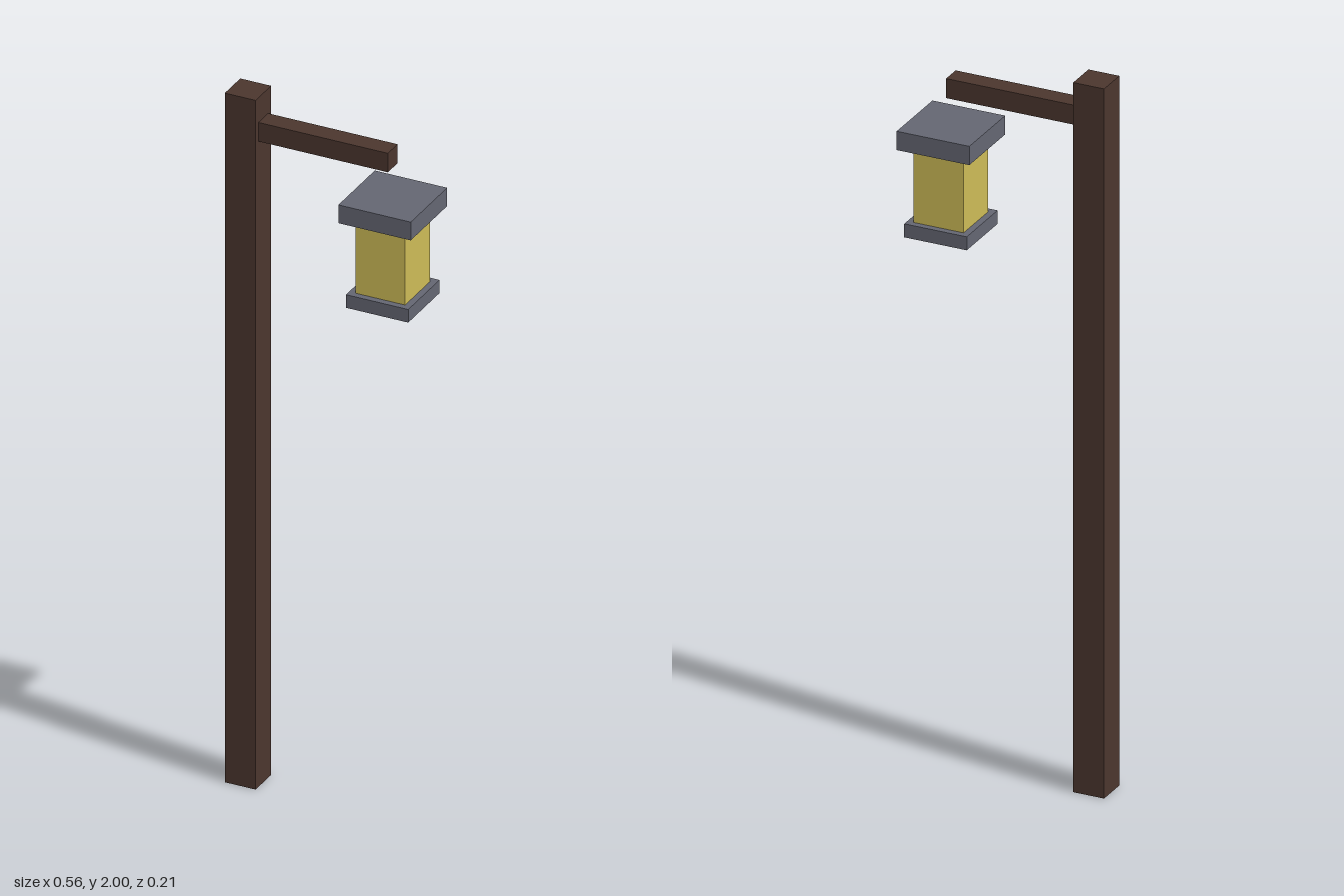
import * as THREE from 'three';

function material(name, color) {
  const m = new THREE.MeshStandardMaterial({ color });
  m.name = name;
  return m;
}

export function createModel() {
  const group = new THREE.Group();
  group.name = 'lanternPost';
  const wood = material('darkWood', 0x4b362e);
  const metal = material('greyMetal', 0x646672);
  const glass = material('yellowGlass', 0xcdbb57);

  // Box given by its x and y extents and its depth, centred on z = 0
  function box(parent, name, mat, x0, x1, y0, y1, depth) {
    const mesh = new THREE.Mesh(new THREE.BoxGeometry(x1 - x0, y1 - y0, depth), mat);
    mesh.name = name;
    mesh.position.set((x0 + x1) / 2, (y0 + y1) / 2, 0);
    parent.add(mesh);
  }

  // Wooden post and the arm set into its side
  box(group, 'post', wood, -0.281, -0.193, 0, 2, 0.088);
  box(group, 'arm', wood, -0.237, 0.177, 1.873, 1.928, 0.055);

  // Square lantern floating below the end of the arm
  const lantern = new THREE.Group();
  lantern.name = 'lantern';
  lantern.position.x = 0.177;
  group.add(lantern);
  const layers = [
    ['lanternCap', metal, 0.207, 1.737, 1.79],
    ['lanternGlass', glass, 0.142, 1.526, 1.737],
    ['lanternBase', metal, 0.178, 1.488, 1.526],
  ];
  for (const [name, mat, w, y0, y1] of layers) box(lantern, name, mat, -w / 2, w / 2, y0, y1, w);

  return group;
}
